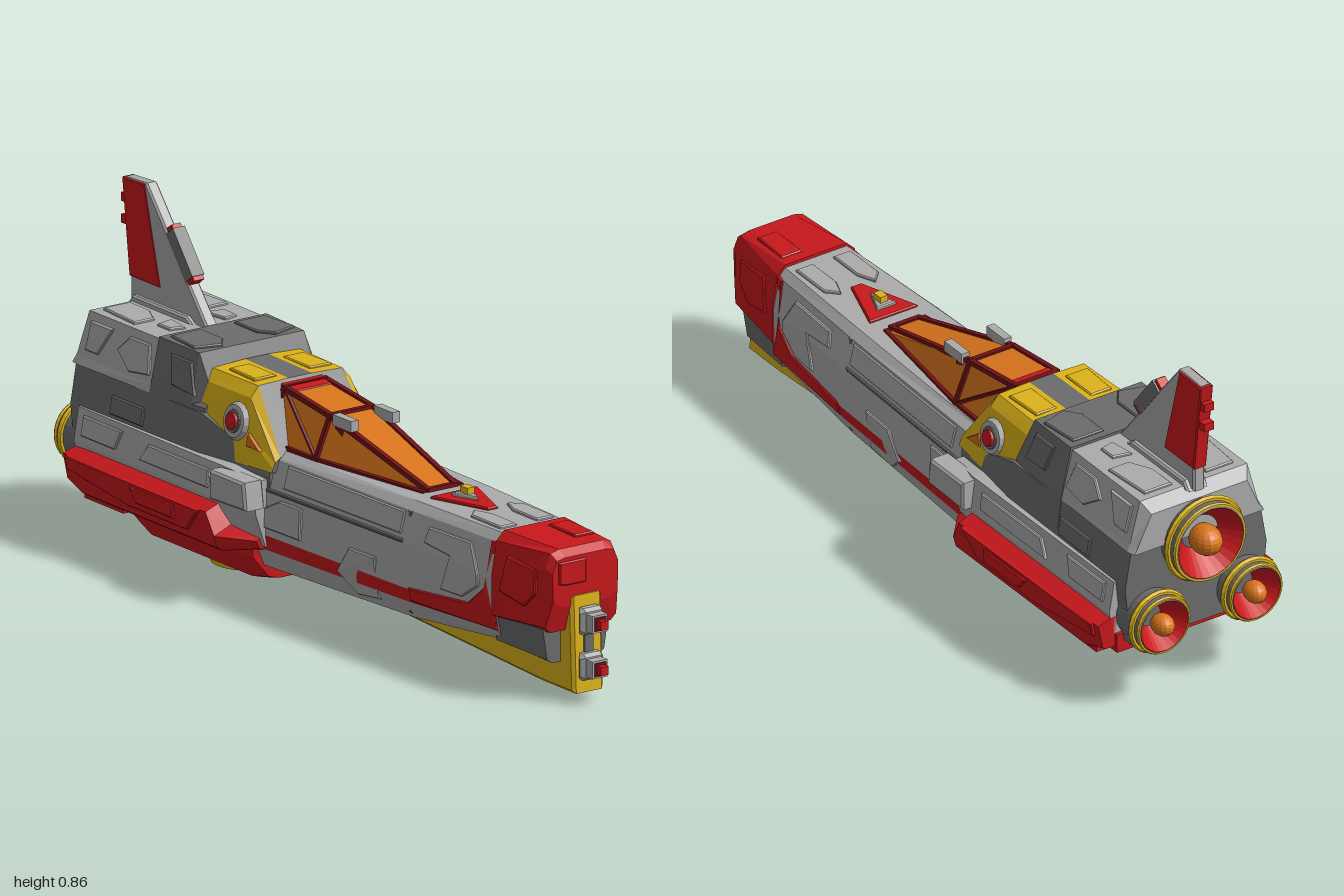
import * as THREE from 'three';

const mat = (name, color) => {
  const m = new THREE.MeshStandardMaterial({ color, side: THREE.DoubleSide, flatShading: true });
  m.name = name;
  return m;
};
const LIGHT = mat('light grey', 0xababab), DARK = mat('dark grey', 0x6c6c6c), RED = mat('red', 0xc8181c),
  MAROON = mat('dark red', 0x701216), YELLOW = mat('yellow', 0xdcb31a), ORANGE = mat('orange', 0xd8741c);

export function createModel() {
  const root = new THREE.Group();
  root.name = 'starfighter';
  const add = (name, geo, m, x = 0, y = 0, z = 0) => {
    const mesh = new THREE.Mesh(geo, m);
    mesh.name = name;
    mesh.position.set(x, y, z);
    root.add(mesh);
    return mesh;
  };
  const box = (name, m, w, h, d, x, y, z) => add(name, new THREE.BoxGeometry(w, h, d), m, x, y, z);

  // Mirrored loft, front to back. Half profiles run bottom to top; mats: bottom, each band, top.
  // Returns the half width of the surface at (z, y).
  const loft = (name, secs, mats, cap) => {
    const n = secs[0][1].length, N = 2 * n, sets = new Map();
    const rings = secs.map(([z, p]) => [...p.map(([x, y]) => [x, y, z]), ...p.map(([x, y]) => [-x, y, z]).reverse()]);
    const tri = (m, ...v) => {
      if (!sets.has(m)) sets.set(m, []);
      sets.get(m).push(...v.flat());
    };
    for (let i = 0; i + 1 < rings.length; i++) for (let j = 0; j < N; j++) {
      const a = rings[i], b = rings[i + 1], k = (j + 1) % N;
      const m = mats[j < n ? j + 1 : N - 1 - j];
      tri(m, a[j], b[j], b[k]);
      tri(m, a[j], b[k], a[k]);
    }
    const f = rings[0], r = rings[rings.length - 1];
    for (let j = 1; j < N - 1; j++) {
      tri(cap, f[0], f[j], f[j + 1]);
      tri(cap, r[0], r[j + 1], r[j]);
    }
    sets.forEach((pos, m) => {
      const g = new THREE.BufferGeometry();
      g.setAttribute('position', new THREE.Float32BufferAttribute(pos, 3));
      g.computeVertexNormals();
      add(name, g, m);
    });
    const at = (p, y) => {
      let k = 0;
      while (k < n - 2 && y > p[k + 1][1]) k++;
      const t = THREE.MathUtils.clamp((y - p[k][1]) / (p[k + 1][1] - p[k][1] || 1), 0, 1);
      return p[k][0] + t * (p[k + 1][0] - p[k][0]);
    };
    return (z, y) => {
      let i = 0;
      while (i < secs.length - 2 && z < secs[i + 1][0]) i++;
      const [z0, p0] = secs[i], [z1, p1] = secs[i + 1];
      const t = THREE.MathUtils.clamp((z - z0) / (z1 - z0), 0, 1);
      return at(p0, y) * (1 - t) + at(p1, y) * t;
    };
  };
  const fill = (n, m) => Array(n).fill(m);

  // Bevelled outline, with each vertex moved by map(u, v, depth)
  const solid = (name, m, pts, depth, bevel, map, flip) => {
    const g = new THREE.ExtrudeGeometry(new THREE.Shape(pts.map(p => new THREE.Vector2(...p))), {
      depth, bevelEnabled: bevel > 0, bevelThickness: bevel, bevelSize: bevel, bevelOffset: -bevel, bevelSegments: 1 });
    const p = g.attributes.position, out = [];
    for (let i = 0; i < p.count; i += 3) for (const k of flip ? [0, 2, 1] : [0, 1, 2])
      out.push(...map(p.getX(i + k), p.getY(i + k), p.getZ(i + k)));
    const o = new THREE.BufferGeometry();
    o.setAttribute('position', new THREE.Float32BufferAttribute(out, 3));
    o.computeVertexNormals();
    add(name, o, m);
  };
  const slab = (name, m, pts, w, bevel = 0) =>
    solid(name, m, pts, w - 2 * bevel, bevel, (u, v, d) => [d - w / 2 + bevel, v, u], true);
  const sidePanel = (name, m, surf, pts, t = 0.006) => [1, -1].forEach(s =>
    solid(name, m, pts, t, 0.003, (u, v, d) => [s * (surf(u, v) + d - 0.002), v, u], s > 0));
  const topPanel = (name, m, y, pts, t = 0.006) =>
    solid(name, m, pts, t, 0.003, (u, v, d) => [u, y + d - 0.002, v], true);
  const mirrorX = pts => pts.map(([x, z]) => [-x, z]);
  const topPair = (name, m, y, pts, t) => [pts, mirrorX(pts)].forEach(p => topPanel(name, m, y, p, t));

  // Forward hull with a red waist stripe
  const hull = loft('hull', [
    [0.72, [[0.07, 0.115], [0.1, 0.125], [0.115, 0.15], [0.122, 0.19], [0.125, 0.28], [0.108, 0.37], [0.09, 0.39]]],
    [0.38, [[0.09, 0.09], [0.12, 0.1], [0.142, 0.145], [0.15, 0.18], [0.146, 0.29], [0.126, 0.37], [0.105, 0.39]]],
    [-0.2, [[0.11, 0.08], [0.145, 0.09], [0.165, 0.14], [0.172, 0.18], [0.168, 0.29], [0.145, 0.37], [0.12, 0.385]]],
  ], [DARK, DARK, LIGHT, RED, LIGHT, LIGHT, LIGHT, LIGHT], DARK);
  sidePanel('hullStripeSweep', RED, hull, [[0.72, 0.375], [0.69, 0.37], [0.68, 0.25], [0.62, 0.2], [0.4, 0.185], [0.4, 0.15], [0.72, 0.15]], 0.004);
  sidePanel('hullPanel', LIGHT, hull, [[0.66, 0.28], [0.62, 0.35], [0.46, 0.35], [0.45, 0.31], [0.55, 0.3], [0.52, 0.21], [0.6, 0.21], [0.66, 0.25]]);
  sidePanel('hullPanel', LIGHT, hull, [[0.27, 0.23], [0.17, 0.23], [0.12, 0.16], [0.18, 0.11], [0.27, 0.12]]);
  sidePanel('hullPanel', LIGHT, hull, [[-0.02, 0.28], [-0.1, 0.28], [-0.16, 0.25], [-0.16, 0.2], [-0.02, 0.2]]);
  sidePanel('hullPanel', LIGHT, hull, [[0.36, 0.365], [-0.1, 0.365], [-0.1, 0.31], [0.36, 0.31]], 0.003);
  sidePanel('hullSeam', DARK, hull, [[0.385, 0.37], [0.37, 0.37], [0.37, 0.11], [0.385, 0.11]], 0.002);
  sidePanel('hullSeam', DARK, hull, [[0.37, 0.3], [-0.17, 0.3], [-0.17, 0.29], [0.37, 0.29]], 0.002);
  topPair('hullTopPanel', LIGHT, 0.39, [[0.03, 0.68], [0.08, 0.68], [0.08, 0.56], [0.05, 0.53], [0.03, 0.58]]);
  topPanel('noseMarker', RED, 0.39, [[-0.07, 0.38], [0.07, 0.38], [0.015, 0.54], [-0.015, 0.54]]);
  topPanel('noseMarkerCore', LIGHT, 0.397, [[-0.028, 0.41], [0.028, 0.41], [0, 0.48]], 0.008);
  box('sensor', YELLOW, 0.022, 0.016, 0.03, 0, 0.415, 0.435);

  // Nose cap and dark jaw
  const nose = loft('noseCap', [
    [0.92, [[0.07, 0.25], [0.096, 0.27], [0.098, 0.34], [0.085, 0.37], [0.06, 0.375]]],
    [0.9, [[0.09, 0.185], [0.106, 0.2], [0.105, 0.35], [0.09, 0.385], [0.065, 0.392]]],
    [0.71, [[0.1, 0.175], [0.127, 0.19], [0.128, 0.29], [0.113, 0.375], [0.09, 0.398]]],
  ], fill(6, RED), RED);
  loft('jaw', [[0.88, [[0.07, 0.1], [0.085, 0.11], [0.098, 0.19]]], [0.7, [[0.08, 0.11], [0.105, 0.12], [0.12, 0.19]]]], fill(4, DARK), DARK);
  sidePanel('noseCheek', RED, nose, [[0.87, 0.34], [0.76, 0.35], [0.74, 0.26], [0.83, 0.24], [0.87, 0.28]]);
  topPanel('noseTopPanel', RED, 0.394, [[0.02, 0.85], [0.075, 0.85], [0.08, 0.74], [0.02, 0.74]]);
  solid('noseFrontPanel', RED, [[-0.08, 0.31], [-0.06, 0.305], [0, 0.305], [0, 0.365], [-0.08, 0.365]], 0.004, 0.003, (u, v, d) => [u, v, 0.918 + d], false);

  // Keel with twin guns
  slab('keel', YELLOW, [[0.935, 0.03], [0.925, 0.275], [0.88, 0.275], [0.86, 0.12], [-0.06, 0.1], [-0.06, 0.07], [0.8, 0.03]], 0.092, 0.008);
  box('keelSlot', DARK, 0.026, 0.08, 0.012, 0, 0.155, 0.93);
  [0.097, 0.212].forEach(y => {
    slab('gunMount', LIGHT, [[0.93, y - 0.034], [0.945, y - 0.034], [0.955, y - 0.026], [0.955, y + 0.026], [0.945, y + 0.034], [0.93, y + 0.034]], 0.068, 0.01);
    box('gunCollar', LIGHT, 0.044, 0.044, 0.03, 0, y, 0.965);
    box('gunBore', MAROON, 0.034, 0.034, 0.006, 0, y, 0.98);
    box('gunTip', RED, 0.022, 0.022, 0.028, 0, y, 0.986);
  });

  // Canopy glass and frame bars
  const can = [[0.33, 0.055, 0.388, 0.04, 0.393], [-0.04, 0.105, 0.388, 0.062, 0.492], [-0.23, 0.112, 0.39, 0.06, 0.515]];
  loft('canopyGlass', can.map(([z, a, b, c, d]) => [z, [[a, b], [c, d]]]), fill(3, ORANGE), ORANGE);
  const bar = (a, b, t = 0.013, m = MAROON, name = 'canopyFrame') => {
    const A = new THREE.Vector3(...a), B = new THREE.Vector3(...b);
    const o = box(name, m, t, t, A.distanceTo(B) + t * 0.6, 0, 0, 0);
    o.position.copy(A).add(B).multiplyScalar(0.5);
    o.lookAt(B);
  };
  for (const s of [1, -1]) {
    const lo = can.map(([z, a, b]) => [s * a, b, z]), hi = can.map(([z, , , c, d]) => [s * c, d, z]);
    for (let i = 0; i < 2; i++) { bar(lo[i], lo[i + 1]); bar(hi[i], hi[i + 1]); }
    for (let i = 1; i < 3; i++) bar(lo[i], hi[i]);
    bar(lo[1], hi[2], 0.009);
    box('canopyPod', LIGHT, 0.022, 0.028, 0.075, s * 0.062, 0.49, 0.02);
    box('canopyPodFoot', MAROON, 0.016, 0.03, 0.03, s * 0.06, 0.47, 0.0);
  }
  can.forEach(([z, , , c, d]) => bar([-c, d, z], [c, d, z]));
  slab('canopyCap', RED, [[-0.19, 0.49], [-0.2, 0.515], [-0.26, 0.525], [-0.26, 0.49]], 0.13, 0.005);

  // Yellow shoulders around the canopy, with round side ports
  const mid = [-0.25, [[0.178, 0.34], [0.168, 0.42], [0.148, 0.5], [0.125, 0.527], [0.035, 0.53]]];
  loft('shoulderFront', [[-0.14, [[0.165, 0.34], [0.162, 0.35], [0.155, 0.365], [0.14, 0.375], [0.05, 0.38]]], mid],
    [DARK, YELLOW, YELLOW, YELLOW, DARK, DARK], DARK);
  const shoulder = loft('shoulder', [mid, [-0.43, [[0.188, 0.34], [0.175, 0.42], [0.152, 0.5], [0.13, 0.528], [0.035, 0.533]]]],
    [DARK, YELLOW, YELLOW, YELLOW, YELLOW, DARK], DARK);
  topPair('shoulderPanel', YELLOW, 0.53, [[0.05, -0.39], [0.11, -0.39], [0.115, -0.28], [0.05, -0.28]], 0.004);
  sidePanel('shoulderVent', ORANGE, () => 0.167, [[-0.18, 0.385], [-0.24, 0.385], [-0.23, 0.42]], 0.005);
  for (const s of [1, -1]) {
    [[0.048, 0.012, LIGHT, 0], [0.033, 0.016, DARK, 0.001], [0.024, 0.028, RED, 0.002]].forEach(([r, h, m, o]) => {
      const c = add('sidePort', new THREE.CylinderGeometry(r * 0.85, r, h, 16), m, s * (shoulder(-0.285, 0.437) + 0.004 + o), 0.437, -0.285);
      c.rotation.z = -s * (Math.PI / 2 - 0.2);
    });
  }

  // Dark engine deck, its raised fairing and the light rear deck
  const deck = loft('engineDeck', [
    [-0.15, [[0.16, 0.2], [0.165, 0.33], [0.16, 0.345]]],
    [-0.4, [[0.19, 0.2], [0.2, 0.33], [0.185, 0.43]]],
    [-0.91, [[0.19, 0.17], [0.207, 0.33], [0.19, 0.43]]],
  ], fill(4, DARK), DARK);
  const fairing = loft('deckFairing', [
    [-0.4, [[0.19, 0.35], [0.175, 0.44], [0.15, 0.46]]],
    [-0.45, [[0.196, 0.35], [0.18, 0.44], [0.156, 0.565]]],
    [-0.61, [[0.2, 0.35], [0.188, 0.44], [0.16, 0.567]]],
  ], fill(4, DARK), DARK);
  const rear = loft('rearDeck', [
    [-0.58, [[0.188, 0.43], [0.183, 0.45], [0.155, 0.56]]],
    [-0.9, [[0.195, 0.43], [0.186, 0.45], [0.157, 0.56]]],
    [-0.925, [[0.19, 0.43], [0.175, 0.45], [0.14, 0.53]]],
  ], fill(4, LIGHT), LIGHT);
  sidePanel('fairingPanel', DARK, fairing, [[-0.44, 0.46], [-0.47, 0.54], [-0.55, 0.54], [-0.53, 0.47]]);
  sidePanel('rearPanel', LIGHT, rear, [[-0.64, 0.54], [-0.72, 0.54], [-0.76, 0.5], [-0.7, 0.46], [-0.62, 0.47]]);
  sidePanel('rearPanel', LIGHT, rear, [[-0.79, 0.54], [-0.88, 0.54], [-0.88, 0.47], [-0.83, 0.47]]);
  sidePanel('deckPanel', DARK, deck, [[-0.62, 0.39], [-0.75, 0.39], [-0.75, 0.345], [-0.62, 0.345]]);
  topPair('fairingTop', DARK, 0.565, [[0.05, -0.59], [0.14, -0.59], [0.15, -0.48], [0.08, -0.46], [0.05, -0.5]]);
  topPair('rearTop', LIGHT, 0.56, [[0.05, -0.88], [0.13, -0.88], [0.14, -0.74], [0.08, -0.74], [0.05, -0.8]]);
  topPair('rearTop', LIGHT, 0.56, [[0.05, -0.71], [0.1, -0.7], [0.1, -0.65], [0.06, -0.64]]);

  // Light flanks over red side pods
  const flank = loft('flank', [
    [-0.16, [[0.17, 0.15], [0.2, 0.24], [0.19, 0.32]]],
    [-0.27, [[0.2, 0.15], [0.226, 0.25], [0.215, 0.335]]],
    [-0.87, [[0.2, 0.15], [0.226, 0.25], [0.212, 0.335]]],
  ], fill(4, LIGHT), LIGHT);
  sidePanel('flankPanel', LIGHT, flank, [[-0.32, 0.315], [-0.57, 0.315], [-0.6, 0.27], [-0.32, 0.27]]);
  sidePanel('flankPanel', LIGHT, flank, [[-0.68, 0.32], [-0.84, 0.32], [-0.84, 0.27], [-0.7, 0.27]]);
  const pod = loft('sidePods', [
    [-0.17, [[0.16, 0.14], [0.18, 0.145], [0.19, 0.165], [0.17, 0.175]]],
    [-0.25, [[0.235, 0.13], [0.25, 0.14], [0.258, 0.17], [0.21, 0.19]]],
    [-0.28, [[0.235, 0.13], [0.25, 0.14], [0.262, 0.225], [0.21, 0.245]]],
    [-0.8, [[0.235, 0.13], [0.25, 0.14], [0.262, 0.225], [0.21, 0.245]]],
    [-0.87, [[0.235, 0.155], [0.245, 0.16], [0.258, 0.225], [0.21, 0.24]]],
  ], fill(5, RED), RED);
  sidePanel('podPlate', RED, pod, [[-0.3, 0.225], [-0.85, 0.225], [-0.85, 0.19], [-0.6, 0.16], [-0.36, 0.16]], 0.009);
  sidePanel('podPlate', RED, () => 0.268, [[-0.4, 0.215], [-0.58, 0.215], [-0.55, 0.18], [-0.4, 0.18]], 0.006);
  for (const s of [1, -1]) {
    slab('flankBlock', LIGHT, [[-0.13, 0.26], [-0.14, 0.33], [-0.28, 0.33], [-0.28, 0.255]], 0.06, 0.006);
    root.children[root.children.length - 1].position.x = s * 0.222;
    box('podSkid', RED, 0.06, 0.014, 0.16, s * 0.2, 0.126, -0.74);
  }

  // Belly block with yellow trim and a round lift thruster
  const bellySec = (z, k) => [z, [[0.11 * k, 0.04 + (1 - k) * 0.09], [0.145 * k, 0.05 + (1 - k) * 0.08], [0.178, 0.115], [0.178, 0.14]]];
  loft('belly', [bellySec(-0.2, 0.9), bellySec(-0.25, 1), bellySec(-0.66, 1), bellySec(-0.72, 0.9)], fill(5, RED), RED);
  [1, -1].forEach(s => box('bellyTrim', YELLOW, 0.008, 0.018, 0.33, s * 0.18, 0.119, -0.55));
  box('bellyTrim', YELLOW, 0.364, 0.018, 0.008, 0, 0.119, -0.721);
  box('bellyPlate', RED, 0.12, 0.012, 0.08, 0, 0.038, -0.29);
  const ringProfile = r => [[r * 0.9, 0], [r, 0.01], [r * 0.94, 0.03], [r * 0.7, 0.035], [r * 0.62, 0.02]].map(p => new THREE.Vector2(...p));
  const ring = add('liftThruster', new THREE.LatheGeometry(ringProfile(0.1), 24), YELLOW, 0, 0.042, -0.46);
  ring.rotation.x = Math.PI;
  add('liftThrusterDish', new THREE.CylinderGeometry(0.03, 0.066, 0.016, 24, 1, true), RED, 0, 0.025, -0.46);
  add('liftThrusterCore', new THREE.SphereGeometry(0.03, 16, 10), ORANGE, 0, 0.035, -0.46);

  // Three rear engines
  [[0, 0.425, 0.108], [0.135, 0.237, 0.078], [-0.135, 0.237, 0.078]].forEach(([x, y, r]) => {
    const e = new THREE.Group();
    e.name = 'engine';
    const put = (geo, m, z) => {
      const o = new THREE.Mesh(geo, m);
      o.name = 'enginePart';
      o.position.z = z;
      e.add(o);
    };
    const shell = [[0.86, -0.08], [0.94, 0], [0.97, 0.055], [0.97, 0.07], [0.88, 0.075]].map(([a, b]) => new THREE.Vector2(a * r, b));
    put(new THREE.LatheGeometry(shell, 28).rotateX(-Math.PI / 2), DARK, -0.9);
    put(new THREE.CylinderGeometry(r * 0.88, r * 0.35, 0.07, 28, 1, true).rotateX(-Math.PI / 2), RED, -0.94);
    put(new THREE.CircleGeometry(r * 0.36, 28).rotateY(Math.PI), MAROON, -0.906);
    put(new THREE.TorusGeometry(r * 0.99, 0.009, 6, 28), YELLOW, -0.945);
    put(new THREE.TorusGeometry(r * 0.93, 0.006, 6, 28), YELLOW, -0.968);
    put(new THREE.SphereGeometry(r * 0.36, 16, 12).scale(1, 1, 1.25), ORANGE, -1 + r * 0.45);
    e.position.set(x, y, 0);
    root.add(e);
  });
  box('tailBar', RED, 0.42, 0.05, 0.04, 0, 0.165, -0.86);

  // Tail fin with red rudder, pod and rear fittings
  slab('tailFin', LIGHT, [[-0.6, 0.55], [-0.63, 0.585], [-0.86, 0.865], [-0.95, 0.86], [-0.925, 0.61], [-0.925, 0.55]], 0.034, 0.005);
  slab('finRoot', LIGHT, [[-0.64, 0.55], [-0.68, 0.575], [-0.9, 0.575], [-0.92, 0.55]], 0.06, 0.005);
  slab('rudder', RED, [[-0.8, 0.615], [-0.865, 0.862], [-0.958, 0.858], [-0.928, 0.615]], 0.038, 0.003);
  [0.75, 0.805].forEach(y => box('finFitting', RED, 0.028, 0.022, 0.05, 0, y, -0.942));
  bar([0, 0.675, -0.69], [0, 0.76, -0.757], 0.036, DARK, 'finPod');
  bar([0, 0.665, -0.682], [0, 0.678, -0.692], 0.03, RED, 'finPodTip');
  bar([0, 0.765, -0.761], [0, 0.772, -0.766], 0.026, RED, 'finPodTip');
  return root;
}
